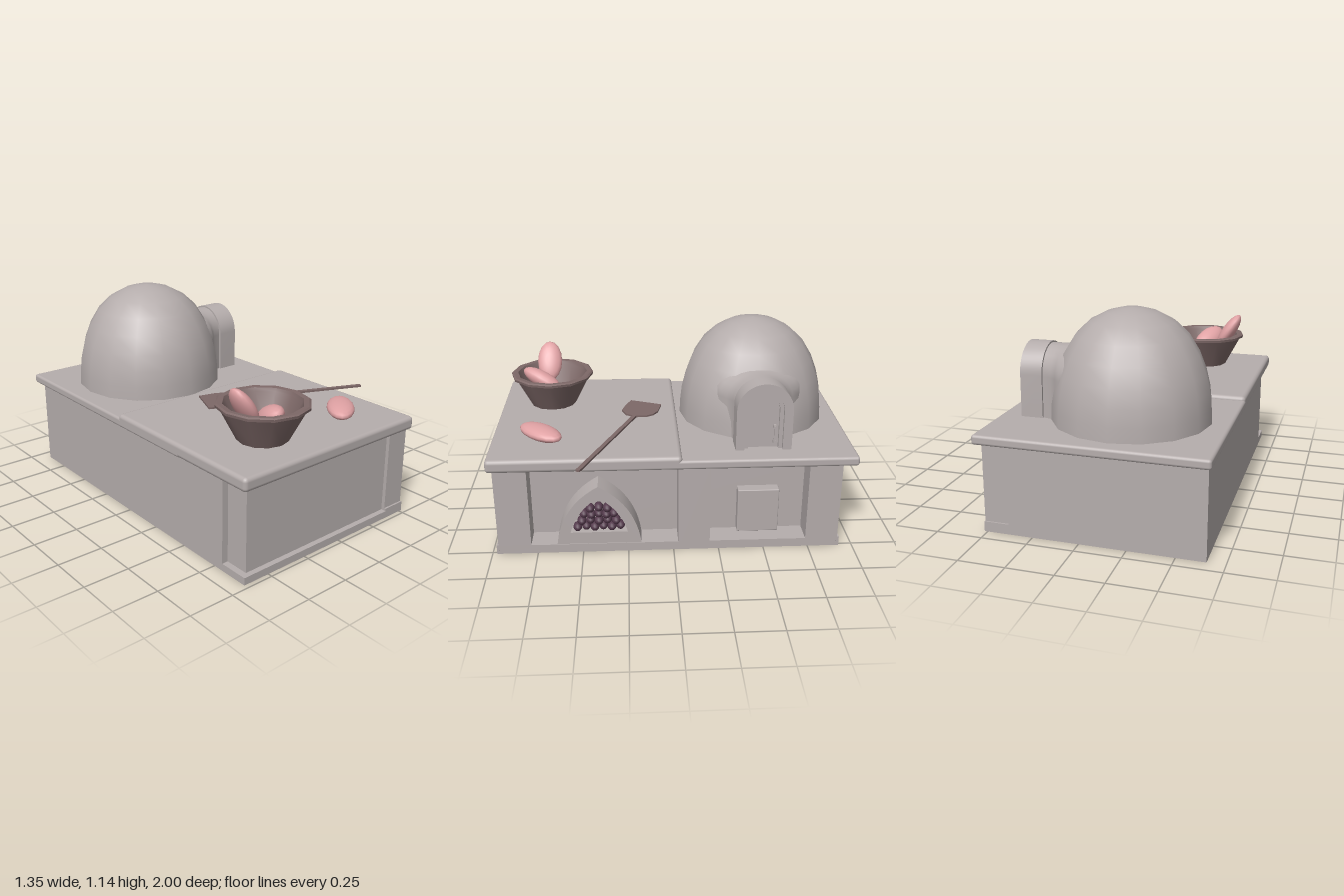
import * as THREE from 'three';
import { toCreasedNormals } from 'three/addons/utils/BufferGeometryUtils.js';
import { RoundedBoxGeometry } from 'three/addons/geometries/RoundedBoxGeometry.js';

const mat = (name, color) => {
  const m = new THREE.MeshStandardMaterial({ color });
  m.name = name;
  return m;
};

export function createModel() {
  const root = new THREE.Group();
  root.name = 'outdoorOven';
  const plaster = mat('warm grey plaster', 0xb5adac);
  const wood = mat('dark brown wood', 0x7d6867);
  const dough = mat('pink dough', 0xe0a2a4);
  const logWood = mat('dark plum logs', 0x553b4d);

  const add = (name, geo, material, parent = root) => {
    const m = new THREE.Mesh(geo, material);
    m.name = name;
    parent.add(m);
    return m;
  };
  // Box given by its limits; a radius rounds the edges
  const box = (name, [x0, x1], [y0, y1], [z0, z1], material = plaster, radius = 0) => {
    const s = [x1 - x0, y1 - y0, z1 - z0];
    const geo = radius ? new RoundedBoxGeometry(...s, 2, radius) : new THREE.BoxGeometry(...s);
    const m = add(name, geo, material);
    m.position.set((x0 + x1) / 2, (y0 + y1) / 2, (z0 + z1) / 2);
    return m;
  };
  // Shape drawn in the side plane, pushed out along +x
  const sidePlate = (name, shape, x0, x1, z, material = plaster) => {
    const geo = new THREE.ExtrudeGeometry(shape, { depth: x1 - x0, bevelEnabled: false, curveSegments: 12 });
    geo.rotateY(Math.PI / 2);
    const m = add(name, toCreasedNormals(geo, 0.6), material);
    m.position.set(x0, 0, z);
    return m;
  };

  // Base with open niches along the +x side
  box('baseCore', [-0.655, 0.38], [0, 0.505], [-0.925, 0.81]);
  box('frontWall', [-0.62, 0.38], [0, 0.505], [0.8, 0.945]);
  box('frontPlinth', [-0.655, 0.38], [0, 0.04], [0.8, 0.975]);
  box('nicheSill', [0.38, 0.515], [0, 0.05], [-0.915, 0.965]);
  for (const z of [[0.785, 0.965], [-0.2, -0.025], [-0.915, -0.735]])
    box('pillar', [0.38, 0.515], [0, 0.505], z);
  for (const z of [[0.96, 0.975], [-0.925, -0.91]])
    box('cornerPlinth', [0.38, 0.517], [0, 0.055], z);

  // Countertop in two heights
  box('backCounter', [-0.68, 0.53], [0.5, 0.552], [-1, 0.5], plaster, 0.015);
  box('frontCounter', [-0.68, 0.53], [0.5, 0.574], [-0.045, 1], plaster, 0.022);

  // Pointed log niche
  const pointed = (target, hw, y0, top, cx, cy) => {
    target.moveTo(-hw, y0);
    target.lineTo(hw, y0);
    target.quadraticCurveTo(cx, cy, 0, top);
    target.quadraticCurveTo(-cx, cy, -hw, y0);
    return target;
  };
  const logArch = pointed(new THREE.Shape(), 0.232, 0.05, 0.4, 0.2, 0.29);
  logArch.holes.push(pointed(new THREE.Path(), 0.157, 0.12, 0.335, 0.125, 0.25));
  sidePlate('logArch', logArch, 0.38, 0.51, 0.41);

  // Stacked logs
  const logGeo = new THREE.SphereGeometry(0.025, 10, 8);
  [6, 5, 5, 3].forEach((n, row) => {
    for (let i = 0; i < n; i++) {
      const log = add('log', logGeo, logWood);
      log.position.set(0.47 + 0.012 * ((i + row) % 2), 0.145 + row * 0.038,
        0.41 + (i - (n - 1) / 2) * (row === 2 ? 0.041 : 0.047));
      log.scale.x = 1.4;
    }
  });

  // Storage box in the second niche
  box('storageDoor', [0.37, 0.44], [0.06, 0.32], [-0.59, -0.36], plaster, 0.005);

  // Oven dome
  const profile = [[0.425, 0.54], [0.422, 0.63], [0.412, 0.72], [0.39, 0.81], [0.353, 0.905],
    [0.295, 1.0], [0.22, 1.07], [0.135, 1.115], [0.06, 1.135], [0, 1.14]];
  const dome = add('ovenDome', new THREE.LatheGeometry(profile.map(p => new THREE.Vector2(...p)), 16), plaster);
  dome.position.set(-0.155, 0, -0.495);

  // Flared neck lofted from arched sections: x, half width, top
  const sections = [[0.1, 0.265, 0.95], [0.17, 0.225, 0.93], [0.205, 0.185, 0.926],
    [0.24, 0.155, 0.925], [0.3, 0.138, 0.925]];
  const steps = 12, ring = steps + 3, pos = [], idx = [];
  sections.forEach(([x, hw, top], i) => {
    pos.push(x, 0.54, hw);
    for (let k = 0; k <= steps; k++) {
      const a = (k / steps) * Math.PI;
      pos.push(x, top - 0.15 + 0.15 * Math.sin(a), hw * Math.cos(a));
    }
    pos.push(x, 0.54, -hw);
    if (i) for (let j = 0; j < ring - 1; j++) {
      const a = (i - 1) * ring + j, b = a + ring;
      idx.push(a, b, a + 1, b, b + 1, a + 1);
    }
  });
  const neckGeo = new THREE.BufferGeometry();
  neckGeo.setAttribute('position', new THREE.Float32BufferAttribute(pos, 3));
  neckGeo.setIndex(idx);
  neckGeo.computeVertexNormals();
  add('ovenNeck', neckGeo, plaster).position.z = -0.495;

  // Oven doorway: frame, inner trim, door and handle
  const arch = (target, hw, y0, top) => {
    target.moveTo(-hw, y0);
    target.lineTo(hw, y0);
    target.lineTo(hw, top - hw);
    target.absarc(0, top - hw, hw, 0, Math.PI, false);
    target.lineTo(-hw, y0);
    return target;
  };
  const archRing = (hw, top, innerHw, innerTop) => {
    const s = arch(new THREE.Shape(), hw, 0.535, top);
    s.holes.push(arch(new THREE.Path(), innerHw, 0.54, innerTop));
    return s;
  };
  sidePlate('doorFrame', archRing(0.153, 0.933, 0.104, 0.885), 0.29, 0.41, -0.495);
  sidePlate('doorTrim', archRing(0.106, 0.887, 0.083, 0.862), 0.29, 0.39, -0.495);
  sidePlate('ovenDoor', arch(new THREE.Shape(), 0.085, 0.535, 0.864), 0.29, 0.37, -0.495);
  for (const y of [0.59, 0.68]) box('handleMount', [0.365, 0.395], [y - 0.008, y + 0.008], [-0.562, -0.548]);
  box('doorHandle', [0.388, 0.398], [0.585, 0.685], [-0.559, -0.551]);

  // Bowl, open at the bottom, with a thick rim
  const bowlProfile = [[0.115, 0.572], [0.135, 0.572], [0.226, 0.748], [0.244, 0.752], [0.246, 0.766],
    [0.236, 0.772], [0.208, 0.77], [0.2, 0.752], [0.115, 0.572]];
  const bowlGeo = new THREE.LatheGeometry(bowlProfile.map(p => new THREE.Vector2(...p)), 12);
  add('bowl', toCreasedNormals(bowlGeo, 0.6), wood).position.set(-0.295, 0, 0.695);

  // Loaves: centre, half sizes, long-axis direction
  const loafGeo = new THREE.SphereGeometry(1, 16, 10);
  const loaf = (name, centre, half, dir) => {
    const m = add(name, loafGeo, dough);
    m.position.set(...centre);
    m.scale.set(...half);
    m.quaternion.setFromUnitVectors(new THREE.Vector3(1, 0, 0), new THREE.Vector3(...dir).normalize());
  };
  loaf('counterLoaf', [0.247, 0.611, 0.725], [0.155, 0.038, 0.075], [1, 0, -1.02]);
  loaf('standingLoaf', [-0.445, 0.785, 0.722], [0.125, 0.042, 0.075], [-0.55, 0.85, 0]);
  loaf('lyingLoaf', [-0.307, 0.715, 0.76], [0.135, 0.05, 0.068], [-0.42, 0.38, 0.9]);

  // Bread peel: flat blade with a long handle
  const blade = new THREE.Shape([[-0.185, 0.04], [-0.08, 0.065], [-0.04, 0.092], [-0.018, 0.13], [-0.015, 0.2],
    [-0.05, 0.255], [-0.11, 0.277], [-0.18, 0.257], [-0.26, 0.222]].map(([x, z]) => new THREE.Vector2(x, -z)));
  const bladeGeo = new THREE.ExtrudeGeometry(blade, { depth: 0.01, bevelEnabled: false });
  bladeGeo.rotateX(-Math.PI / 2);
  add('peelBlade', bladeGeo, wood).position.y = 0.576;
  const handle = add('peelHandle', new THREE.BoxGeometry(0.77, 0.011, 0.024), wood);
  handle.position.set(0.315, 0.581, 0.348);
  handle.rotation.y = -Math.atan2(0.3, 0.7);

  return root;
}
